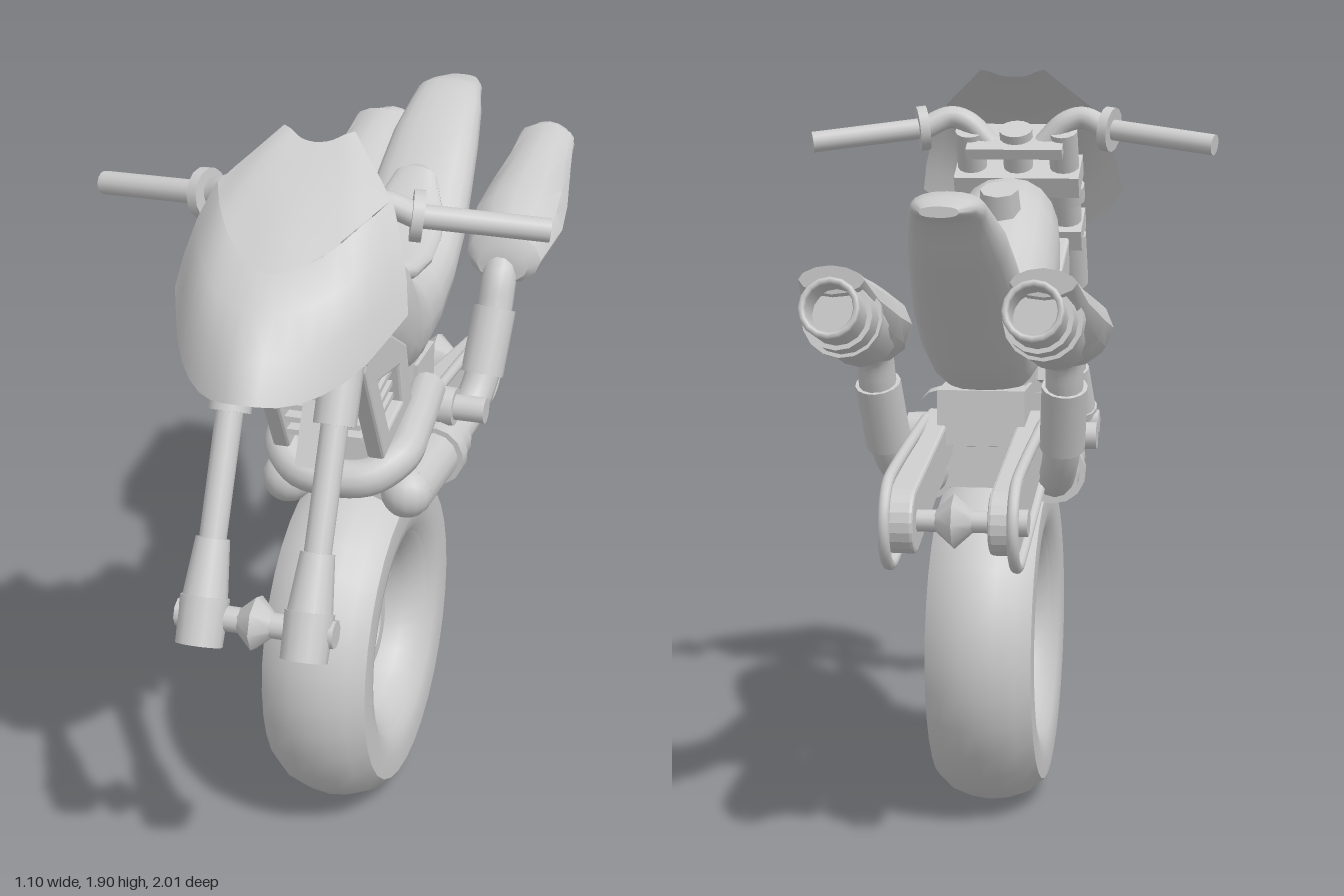
import * as THREE from 'three';
import { toCreasedNormals } from 'three/addons/utils/BufferGeometryUtils.js';

const grey = new THREE.MeshStandardMaterial({ color: 0xcccccc });
const shellMat = new THREE.MeshStandardMaterial({ color: 0xcccccc, side: THREE.DoubleSide });
const V = (p) => new THREE.Vector3(...p);

export function createModel() {
  const model = new THREE.Group();
  const add = (name, geo, mat = grey, parent = model) => {
    const m = new THREE.Mesh(geo, mat);
    m.name = name;
    parent.add(m);
    return m;
  };
  const both = (fn) => [1, -1].forEach(fn);

  // Round bar between two points
  const rod = (name, p, q, r1, r2 = r1, seg = 14, open = false) => {
    const a = V(p), b = V(q), d = b.clone().sub(a);
    const m = add(name, new THREE.CylinderGeometry(r2, r1, d.length(), seg, 1, open), open ? shellMat : grey);
    m.position.copy(a).addScaledVector(d, 0.5);
    m.quaternion.setFromUnitVectors(new THREE.Vector3(0, 1, 0), d.normalize());
    return m;
  };
  const tube = (name, pts, r, closed = false, seg = 32) =>
    add(name, new THREE.TubeGeometry(new THREE.CatmullRomCurve3(pts.map(V), closed), seg, r, 12, closed));
  const box = (name, size, pos, rx = 0) => {
    const m = add(name, new THREE.BoxGeometry(...size));
    m.position.set(...pos);
    m.rotation.x = rx;
    return m;
  };

  // Skin over cross-sections [z, top, bottom, half width], listed front to back
  const loft = (name, stations, { x = 0, n = 20, power = 0.85, crease = 0.7 } = {}) => {
    const pos = [], idx = [];
    const bend = (v) => Math.sign(v) * Math.abs(v) ** power;
    stations.forEach(([z, top, bottom, hw]) => {
      for (let i = 0; i < n; i++) {
        const t = (i / n) * Math.PI * 2;
        pos.push(x + hw * bend(Math.cos(t)), (top + bottom) / 2 + ((top - bottom) / 2) * bend(Math.sin(t)), z);
      }
    });
    const last = stations.length - 1;
    for (let j = 0; j < last; j++) for (let i = 0; i < n; i++) {
      const a = j * n + i, b = j * n + ((i + 1) % n);
      idx.push(a, a + n, b, b, a + n, b + n);
    }
    [0, last].forEach((j) => {
      const [z, top, bottom] = stations[j], c = pos.length / 3;
      pos.push(x, (top + bottom) / 2, z);
      for (let i = 0; i < n; i++) {
        const a = j * n + i, b = j * n + ((i + 1) % n);
        idx.push(c, ...(j ? [b, a] : [a, b]));
      }
    });
    const g = new THREE.BufferGeometry();
    g.setAttribute('position', new THREE.Float32BufferAttribute(pos, 3));
    g.setIndex(idx);
    return add(name, toCreasedNormals(g, crease));
  };

  // Mirrored open sheet from rows of points running centre to side
  const sheet = (name, rows) => {
    const pos = [], idx = [], n = 17;
    rows.forEach((row) => {
      const full = [...row.slice(1).reverse().map(([x, y, z]) => [-x, y, z]), ...row];
      new THREE.CatmullRomCurve3(full.map(V)).getPoints(n - 1).forEach((p) => pos.push(p.x, p.y, p.z));
    });
    for (let j = 0; j < rows.length - 1; j++) for (let i = 0; i < n - 1; i++) {
      const a = j * n + i;
      idx.push(a, a + 1, a + n, a + 1, a + n + 1, a + n);
    }
    const g = new THREE.BufferGeometry();
    g.setAttribute('position', new THREE.Float32BufferAttribute(pos, 3));
    g.setIndex(idx);
    g.computeVertexNormals();
    return add(name, g, shellMat);
  };

  // Plate drawn in (z, y) and given thickness along x
  const plate = (name, shape, x, depth, bevel = 0.008) => {
    const g = new THREE.ExtrudeGeometry(shape, {
      depth, bevelEnabled: bevel > 0, bevelSize: bevel, bevelThickness: bevel, bevelSegments: 2, curveSegments: 10 });
    g.translate(0, 0, -depth / 2).rotateY(-Math.PI / 2).translate(x, 0, 0);
    return add(name, g);
  };
  const poly = (pts) => pts.map((p) => new THREE.Vector2(...p));
  // Outline of two joined discs
  const capsule = ([z1, y1, r1], [z2, y2, r2]) => {
    const a = Math.atan2(y2 - y1, z2 - z1), pts = [];
    for (let i = 0; i <= 10; i++) pts.push([z1 + r1 * Math.cos(a + Math.PI * (0.5 + i / 10)), y1 + r1 * Math.sin(a + Math.PI * (0.5 + i / 10))]);
    for (let i = 0; i <= 10; i++) pts.push([z2 + r2 * Math.cos(a + Math.PI * (i / 10 - 0.5)), y2 + r2 * Math.sin(a + Math.PI * (i / 10 - 0.5))]);
    return pts;
  };

  // Wheel: tyre, rim, hub ring and three spokes
  const wheel = new THREE.Group();
  wheel.name = 'wheel';
  wheel.position.set(0, 0.445, 0.113);
  model.add(wheel);
  const ring = (name, pts, crease) =>
    add(name, toCreasedNormals(new THREE.LatheGeometry(poly(pts), 32).rotateZ(Math.PI / 2), crease), shellMat, wheel);
  ring('tyre', [[0.265, -0.11], [0.29, -0.128], [0.33, -0.136], [0.385, -0.134], [0.42, -0.095], [0.438, -0.045], [0.444, 0],
    [0.438, 0.045], [0.42, 0.095], [0.385, 0.134], [0.33, 0.136], [0.29, 0.128], [0.265, 0.11]], 0.8);
  ring('rim', [[0.265, 0.11], [0.25, 0.1], [0.215, 0.06], [0.205, 0], [0.215, -0.06], [0.25, -0.1], [0.265, -0.11]], 0.8);
  ring('hub', [[0.08, -0.04], [0.115, -0.04], [0.125, -0.025], [0.125, 0.025], [0.115, 0.04], [0.08, 0.04], [0.08, -0.04]], 0.5);
  [45, 165, 285].forEach((deg) => {
    const t = THREE.MathUtils.degToRad(deg);
    const s = add('spoke', new THREE.CylinderGeometry(0.045, 0.032, 0.12, 10).scale(0.7, 1, 1), grey, wheel);
    s.position.set(0, 0.165 * Math.sin(t), 0.165 * Math.cos(t));
    s.rotation.x = Math.PI / 2 - t;
  });

  // Tank and tail in one skin, then seat and filler cap
  loft('tankAndTail', [
    [0.495, 1.48, 1.38, 0.03], [0.475, 1.54, 1.34, 0.075], [0.4, 1.605, 1.31, 0.115], [0.3, 1.625, 1.28, 0.14],
    [0.2, 1.595, 1.22, 0.152], [0.1, 1.52, 1.14, 0.152], [0, 1.41, 1.11, 0.14], [-0.1, 1.365, 1.1, 0.132],
    [-0.2, 1.36, 1.13, 0.135], [-0.3, 1.39, 1.2, 0.14], [-0.4, 1.455, 1.29, 0.14], [-0.5, 1.535, 1.37, 0.13],
    [-0.6, 1.605, 1.45, 0.118], [-0.7, 1.645, 1.53, 0.1], [-0.74, 1.66, 1.58, 0.088], [-0.8, 1.65, 1.6, 0.075], [-0.87, 1.635, 1.61, 0.045]]);
  loft('seat', [
    [0.01, 1.4, 1.38, 0.03], [-0.02, 1.418, 1.36, 0.075], [-0.08, 1.408, 1.34, 0.102], [-0.18, 1.405, 1.34, 0.112],
    [-0.28, 1.428, 1.36, 0.108], [-0.35, 1.475, 1.4, 0.09], [-0.41, 1.53, 1.45, 0.06], [-0.44, 1.525, 1.49, 0.025]]);
  rod('fillerCap', [0, 1.54, 0.16], [0, 1.605, 0.135], 0.055, 0.05, 8);

  // Side panels with slatted vents
  both((s) => {
    const panel = new THREE.Shape(poly([[0.51, 1.36], [0.5, 1.44], [0.3, 1.36], [0.17, 1.28], [0.12, 1.12], [0.35, 1.07]]));
    panel.holes.push(new THREE.Path(poly([[0.42, 1.3], [0.32, 1.12], [0.19, 1.14], [0.22, 1.26]])));
    plate('sidePanel', panel, s * 0.12, 0.03);
    for (let i = 0; i < 4; i++) box('ventSlat', [0.02, 0.014, 0.19 - i * 0.012], [s * 0.11, 1.155 + i * 0.035, 0.26 + i * 0.018], 0.15);
  });

  // Engine block, fins and radiator
  box('engine', [0.2, 0.24, 0.36], [0, 1.06, 0.08]);
  for (let i = 0; i < 6; i++) box('engineFin', [0.19, 0.014, 0.22], [0, 1.12 + i * 0.04, 0.28 + i * 0.014]);
  box('radiator', [0.08, 0.32, 0.03], [0, 1.22, 0.41], -0.47);
  box('crankcase', [0.24, 0.14, 0.26], [0, 0.93, 0.06]);

  // Header pipe wrapping round the engine
  tube('headerPipe', [[-0.13, 1.06, -0.07], [-0.15, 1.045, 0.12], [-0.15, 1.02, 0.25], [-0.09, 0.985, 0.31], [0, 0.975, 0.32],
    [0.09, 0.985, 0.31], [0.15, 1.02, 0.25], [0.15, 1.045, 0.12], [0.13, 1.06, -0.07]], 0.048, false, 48);

  // Exhausts
  both((s) => {
    const p = (x, y, z) => [s * x, y, z];
    rod('collector', p(0.155, 0.9, 0.2), p(0.17, 0.9, -0.13), 0.066);
    const end = add('collectorEnd', new THREE.SphereGeometry(0.066, 14, 10));
    end.position.set(s * 0.155, 0.9, 0.2);
    rod('pipeClamp', p(0.165, 0.9, -0.01), p(0.167, 0.9, -0.05), 0.08);
    tube('exhaustPipe', [p(0.17, 0.9, -0.1), p(0.185, 0.91, -0.19), p(0.205, 0.96, -0.27), p(0.222, 1.06, -0.335),
      p(0.228, 1.17, -0.38), p(0.23, 1.25, -0.42), p(0.23, 1.31, -0.52)], 0.046);
    rod('pipeSleeve', p(0.215, 1.01, -0.305), p(0.228, 1.17, -0.378), 0.056);
    loft('mufflerShield', [[-0.41, 1.33, 1.23, 0.07], [-0.43, 1.37, 1.22, 0.1], [-0.56, 1.43, 1.24, 0.125], [-0.66, 1.455, 1.27, 0.115],
      [-0.8, 1.485, 1.35, 0.09], [-0.9, 1.505, 1.44, 0.075]], { x: s * 0.237, n: 12, power: 1.1, crease: 0.55 });
    rod('muffler', p(0.23, 1.325, -0.58), p(0.225, 1.395, -0.9), 0.09, 0.08, 16);
    rod('mufflerBand', p(0.23, 1.375, -0.8), p(0.228, 1.381, -0.83), 0.092, 0.092, 16);
    rod('tailpipe', p(0.225, 1.385, -0.87), p(0.225, 1.42, -0.99), 0.068, 0.068, 16, true);
    rod('tailpipeLining', p(0.225, 1.385, -0.87), p(0.225, 1.42, -0.99), 0.056, 0.056, 16, true);
    const lip = add('tailpipeLip', new THREE.TorusGeometry(0.062, 0.008, 6, 16));
    lip.position.set(s * 0.225, 1.42, -0.99);
    lip.rotation.x = 0.28;
  });

  // Foot bar and swingarm with drive loops
  rod('footBar', [-0.28, 1.005, -0.097], [0.28, 1.005, -0.097], 0.034);
  box('pivotBlock', [0.22, 0.14, 0.16], [0, 1.06, -0.13]);
  both((s) => {
    rod('pivotCollar', [s * 0.11, 1.005, -0.097], [s * 0.2, 1.005, -0.097], 0.055, 0.05);
    plate('swingarm', new THREE.Shape(poly(capsule([-0.08, 1.01, 0.045], [-0.65, 0.885, 0.07]))), s * 0.12, 0.05);
    tube('driveLoop', capsule([-0.12, 0.985, 0.06], [-0.65, 0.885, 0.105]).map(([z, y]) => [s * 0.15, y, z]), 0.014, true, 64);
    rod('swingarmAxleCap', [s * 0.14, 0.885, -0.65], [s * 0.175, 0.885, -0.65], 0.032);
  });

  // Axles, each with a double cone at its middle
  [['frontAxle', 0.885, 0.903, 0.03], ['rearAxle', 0.885, -0.65, 0.026]].forEach(([name, y, z, r]) => {
    rod(name, [-0.16, y, z], [0.16, y, z], r);
    both((s) => rod(name + 'Cone', [0, y, z], [s * 0.045, y, z], 0.066, 0.025, 8));
  });

  // Fork legs, following one raked line
  const rake = -Math.atan(0.51);
  const onFork = (x, y) => [x, y, 0.65 - 0.51 * (y - 1.41)];
  both((s) => {
    const seg = (name, y1, y2, r1, r2) => rod(name, onFork(s * 0.126, y1), onFork(s * 0.126, y2), r1, r2);
    seg('forkFoot', 0.83, 0.93, 0.055, 0.058);
    seg('forkLower', 0.9, 1.05, 0.056, 0.04);
    seg('forkSlider', 1.03, 1.33, 0.032, 0.032);
    seg('forkUpper', 1.31, 1.45, 0.05, 0.05);
    seg('forkTube', 1.45, 1.74, 0.04, 0.04);
    seg('forkCollar', 1.55, 1.59, 0.052, 0.052);
    rod('forkAxleCap', [s * 0.13, 0.885, 0.903], [s * 0.19, 0.885, 0.903], 0.034, 0.034, 8);
    // Handlebar
    tube('handlebar', [[s * 0.07, 1.7, 0.49], [s * 0.13, 1.76, 0.49], [s * 0.18, 1.775, 0.49], [s * 0.25, 1.745, 0.47]], 0.03, false, 16);
    rod('grip', [s * 0.24, 1.747, 0.475], [s * 0.54, 1.71, 0.385], 0.028);
    rod('gripFlange', [s * 0.24, 1.747, 0.475], [s * 0.265, 1.744, 0.468], 0.06);
  });
  [1.465, 1.615].forEach((y) => box('forkClamp', [0.34, 0.06, 0.13], onFork(0, y), rake));
  rod('steeringStem', onFork(0, 1.4), onFork(0, 1.72), 0.04);
  rod('headTube', [0, 1.52, 0.42], onFork(0, 1.53), 0.05);
  box('topPlate', [0.26, 0.03, 0.14], [0, 1.71, 0.49], rake);
  rod('dial', [0, 1.71, 0.49], [0, 1.745, 0.472], 0.045, 0.045, 16);

  // Front cowl and windscreen
  sheet('frontCowl', [
    [[0, 1.475, 0.995], [0.1, 1.46, 0.94], [0.2, 1.485, 0.81], [0.277, 1.57, 0.63]],
    [[0, 1.56, 0.945], [0.1, 1.555, 0.89], [0.195, 1.58, 0.77], [0.265, 1.64, 0.6]],
    [[0, 1.635, 0.86], [0.1, 1.64, 0.81], [0.185, 1.68, 0.7], [0.242, 1.72, 0.565]],
    [[0, 1.69, 0.75], [0.09, 1.71, 0.705], [0.16, 1.76, 0.62], [0.208, 1.797, 0.52]]]);
  sheet('windscreen', [
    [[0, 1.69, 0.77], [0.09, 1.715, 0.72], [0.16, 1.765, 0.63], [0.205, 1.797, 0.525]],
    [[0, 1.76, 0.67], [0.08, 1.775, 0.635], [0.14, 1.81, 0.56], [0.175, 1.825, 0.49]],
    [[0, 1.825, 0.56], [0.06, 1.835, 0.54], [0.11, 1.855, 0.49], [0.135, 1.86, 0.45]],
    [[0, 1.885, 0.44], [0.035, 1.888, 0.43], [0.065, 1.9, 0.41], [0.085, 1.905, 0.4]]]);

  return model;
}
